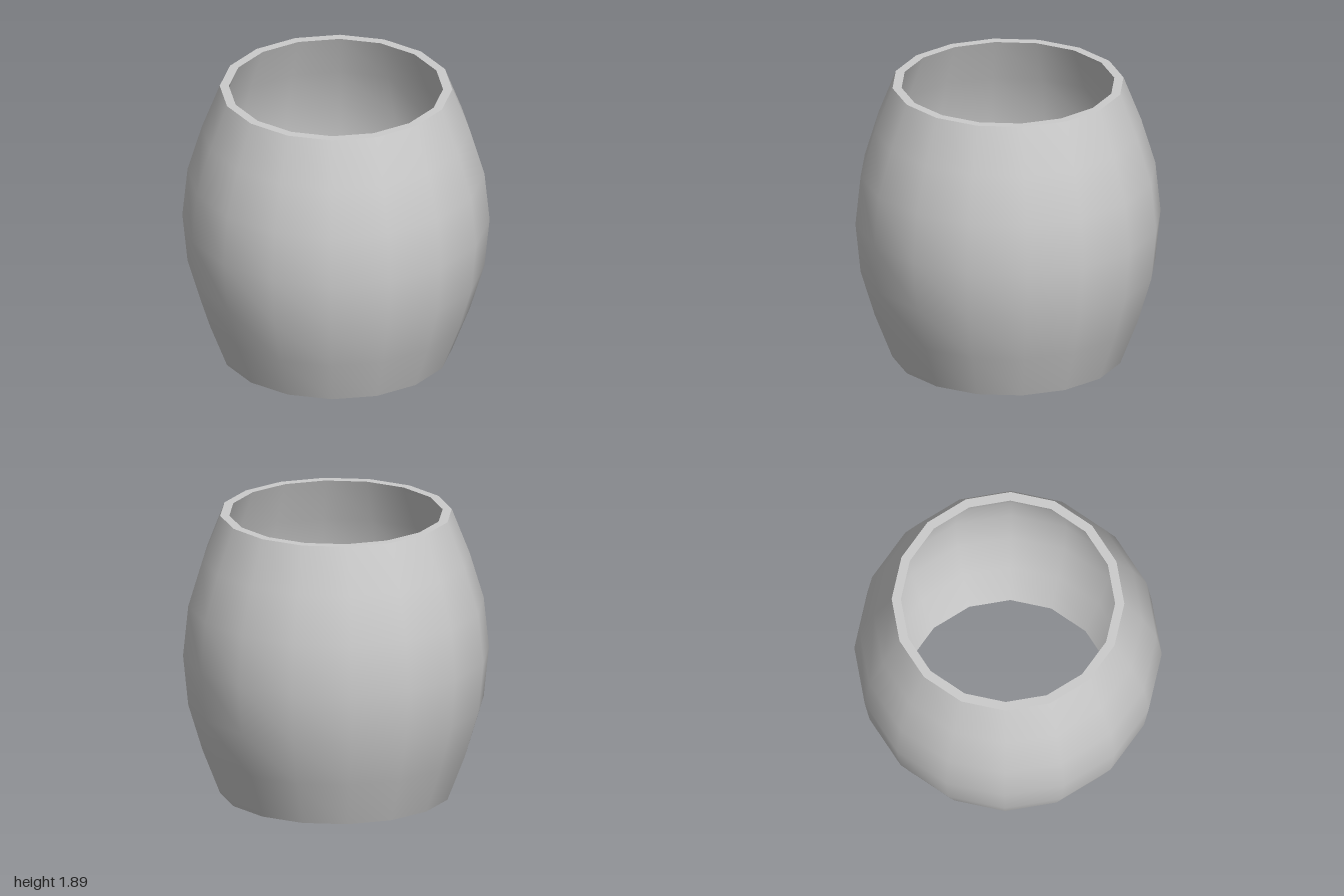
import * as THREE from 'three';

const SIDES = 16;
const HEIGHT = 1.89;
const WALL = 0.06;

export function createModel() {
  const group = new THREE.Group();
  group.name = 'openBarrel';
  const material = new THREE.MeshStandardMaterial({ color: 0xcccccc });

  // Bulging stave profile, bottom to top: [radius, height]
  const outer = [
    [0.757, 0], [0.873, 0.3], [0.966, 0.61], [1, 0.945],
    [0.966, 1.28], [0.873, 1.59], [0.757, HEIGHT],
  ];
  // Inner wall follows the same curve, running top to bottom so it faces inward
  const inner = outer.map(([r, y]) => [r - WALL, y]).reverse();

  // Each section is its own lathe, so edges at the rims stay sharp
  const addRing = (name, profile) => {
    const points = profile.map(([r, y]) => new THREE.Vector2(r, y));
    const mesh = new THREE.Mesh(new THREE.LatheGeometry(points, SIDES), material);
    mesh.name = name;
    group.add(mesh);
  };

  addRing('outerWall', outer);
  addRing('topRim', [outer[outer.length - 1], inner[0]]);
  addRing('innerWall', inner);
  addRing('bottomRim', [inner[inner.length - 1], outer[0]]);

  return group;
}
